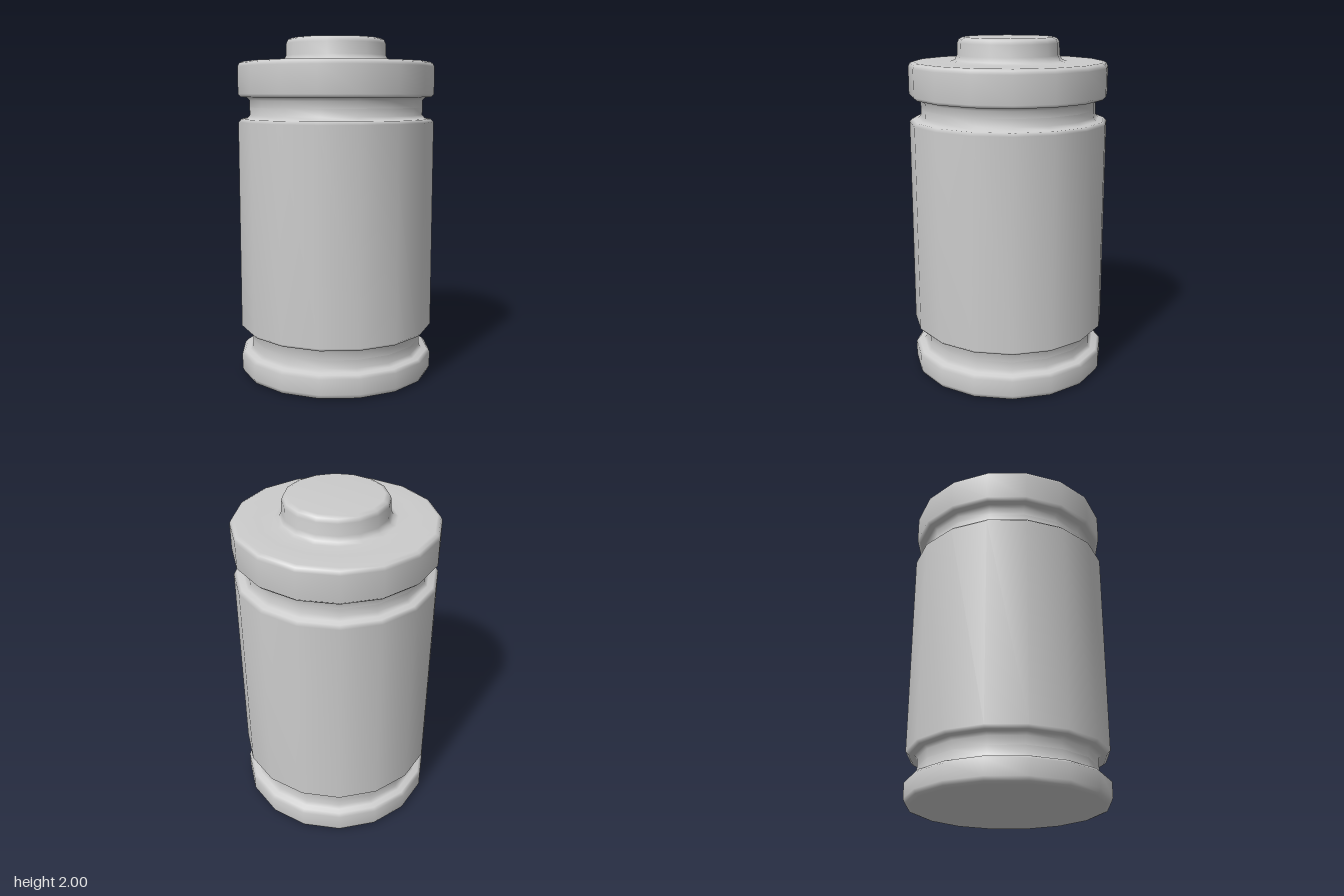
import * as THREE from 'three';
import { mergeVertices } from 'three/addons/utils/BufferGeometryUtils.js';

const SIDES = 16;

// Revolve a [radius, height] profile, welded so the smooth normals are area weighted
function turned(name, profile, material) {
  const points = profile.map(([r, y]) => new THREE.Vector2(r, y));
  let geometry = new THREE.LatheGeometry(points, SIDES);
  geometry.deleteAttribute('uv');
  geometry.deleteAttribute('normal');
  geometry = mergeVertices(geometry, 1e-4);
  geometry.computeVertexNormals();
  const mesh = new THREE.Mesh(geometry, material);
  mesh.name = name;
  return mesh;
}

export function createModel() {
  const group = new THREE.Group();
  group.name = 'batteryCell';
  const material = new THREE.MeshStandardMaterial({ color: 0xcccccc });
  const R = 0.58;       // outer radius
  const G = 0.513;      // groove radius

  // Bottom disc with bevelled rim, up to the middle of the lower groove
  group.add(turned('baseRing', [
    [0, 0], [0.545, 0], [0.57, 0.01], [R, 0.033],
    [R, 0.122], [0.562, 0.14], [0.53, 0.143], [G, 0.162], [G, 0.21],
  ], material));

  // Long casing between the two grooves
  group.add(turned('body', [
    [G, 0.21], [G, 0.26], [0.53, 0.278], [0.562, 0.28], [R, 0.298],
    [R, 1.516], [0.562, 1.534], [0.53, 1.537], [G, 1.556], [G, 1.6],
  ], material));

  // Upper ring and the flat shoulder
  group.add(turned('topRing', [
    [G, 1.6], [G, 1.64], [0.53, 1.658], [0.562, 1.66], [R, 1.678],
    [R, 1.834], [0.57, 1.854], [0.55, 1.863], [0.43, 1.863],
  ], material));

  // Raised contact with a filleted foot and rounded top
  group.add(turned('terminal', [
    [0.43, 1.863], [0.337, 1.863], [0.31, 1.873], [0.297, 1.9],
    [0.295, 1.968], [0.285, 1.99], [0.262, 2], [0, 2],
  ], material));

  return group;
}
